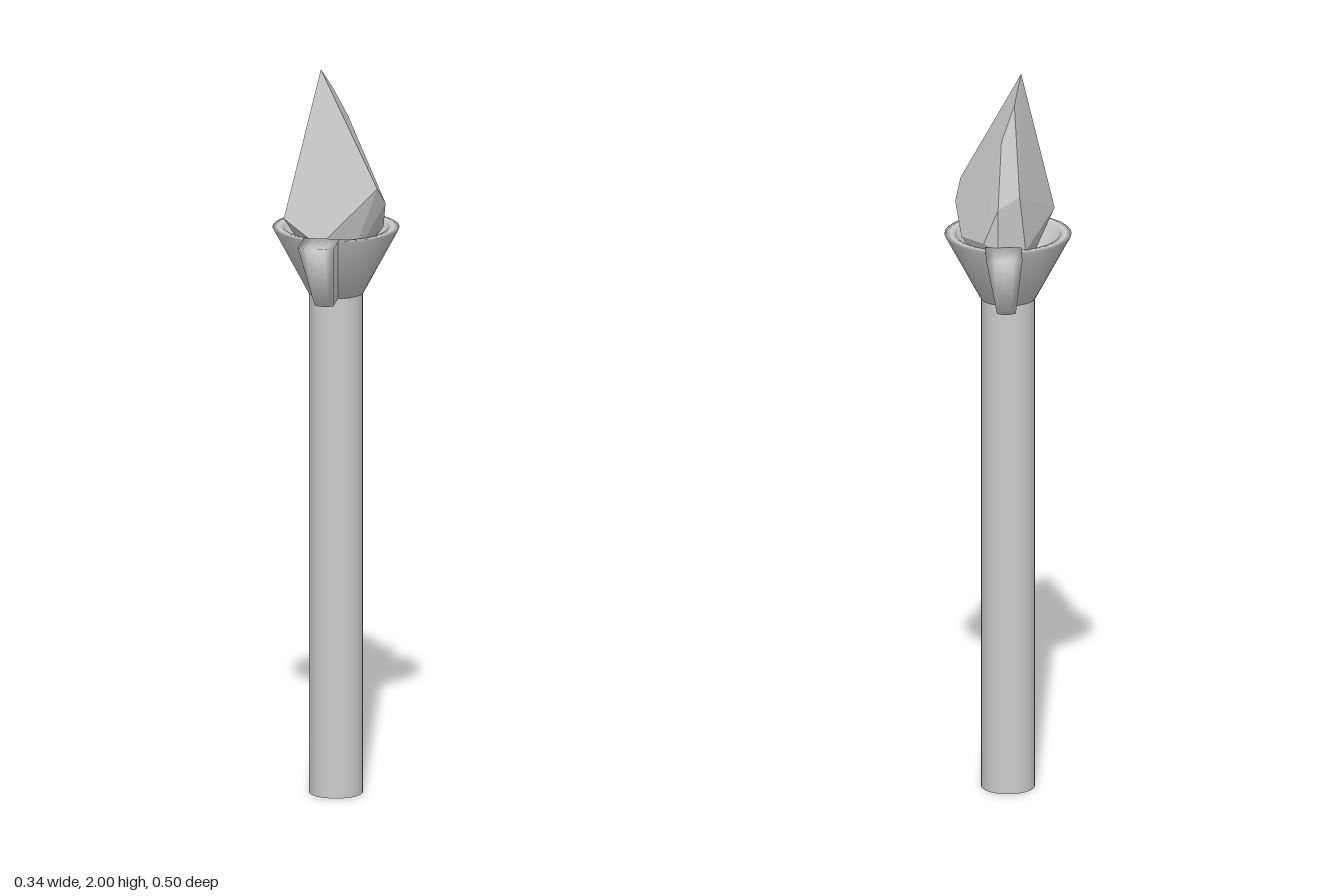
import * as THREE from 'three';
import { ConvexGeometry } from 'three/addons/geometries/ConvexGeometry.js';
import { mergeVertices } from 'three/addons/utils/BufferGeometryUtils.js';

const CENTRE_Z = -0.008; // axis of the shaft and cup

function part(name, geometry, options = {}) {
  const material = new THREE.MeshStandardMaterial({ color: 0xcccccc, ...options });
  const mesh = new THREE.Mesh(geometry, material);
  mesh.name = name;
  return mesh;
}

// Slanted, tapering block leaning out along the cup, with a bowed outer end
function prongGeometry() {
  const box = new THREE.BoxGeometry(1, 1, 1, 4, 1, 1);
  const pos = box.attributes.position;
  for (let i = 0; i < pos.count; i++) {
    const u = pos.getX(i);
    const top = pos.getY(i) > 0;
    const outer = pos.getZ(i) > 0;
    const bow = outer ? 0.04 * u * u : 0;
    const x = top ? -0.016 + u * 0.097 : -0.008 + u * 0.05;
    const z = top ? (outer ? 0.249 : 0.13) : (outer ? 0.155 : 0.05);
    pos.setXYZ(i, x, top ? 1.562 : 1.38, z - bow);
  }
  box.deleteAttribute('normal');
  box.deleteAttribute('uv');
  const smooth = mergeVertices(box);
  smooth.computeVertexNormals();
  return smooth;
}

export function createModel() {
  const model = new THREE.Group();
  model.name = 'crystalTorch';

  // Long round shaft
  const shaft = part('shaft', new THREE.CylinderGeometry(0.072, 0.072, 1.4, 32));
  shaft.position.set(0, 0.7, CENTRE_Z);
  model.add(shaft);

  // Flared cup with a thick rim and hollow inside
  const profile = [
    [0, 1.38], [0.074, 1.38], [0.17, 1.56], [0.155, 1.562],
    [0.14, 1.56], [0.125, 1.52], [0.06, 1.42], [0, 1.42],
  ].map(([r, y]) => new THREE.Vector2(r, y));
  const cup = part('cup', new THREE.LatheGeometry(profile, 32), { side: THREE.DoubleSide });
  cup.position.z = CENTRE_Z;
  model.add(cup);

  // Two prongs, one turned half way round from the other
  const prong = prongGeometry();
  ['frontProng', 'backProng'].forEach((name, i) => {
    const mesh = part(name, prong);
    mesh.rotation.y = i * Math.PI;
    model.add(mesh);
  });

  // Irregular faceted crystal, its foot sunk into the cup
  const corners = [
    // tip and back ridge
    [-0.036, 2, 0.022], [-0.016, 1.935, -0.048], [0.02, 1.845, -0.09],
    // shoulders
    [0.03, 1.67, -0.14], [-0.028, 1.7, -0.115], [-0.127, 1.6, 0.083],
    [0.125, 1.69, 0.075], [0.14, 1.64, 0.03],
    // lower corners
    [-0.03, 1.53, 0.095], [0.125, 1.56, -0.03], [0.068, 1.57, -0.122],
    [0.03, 1.55, -0.135], [-0.045, 1.54, -0.1],
    // foot
    [-0.07, 1.49, 0.03], [0.04, 1.46, 0.04], [0.06, 1.47, -0.06], [-0.02, 1.46, -0.06],
  ].map((p) => new THREE.Vector3(...p));
  model.add(part('crystal', new ConvexGeometry(corners), { flatShading: true }));

  return model;
}
